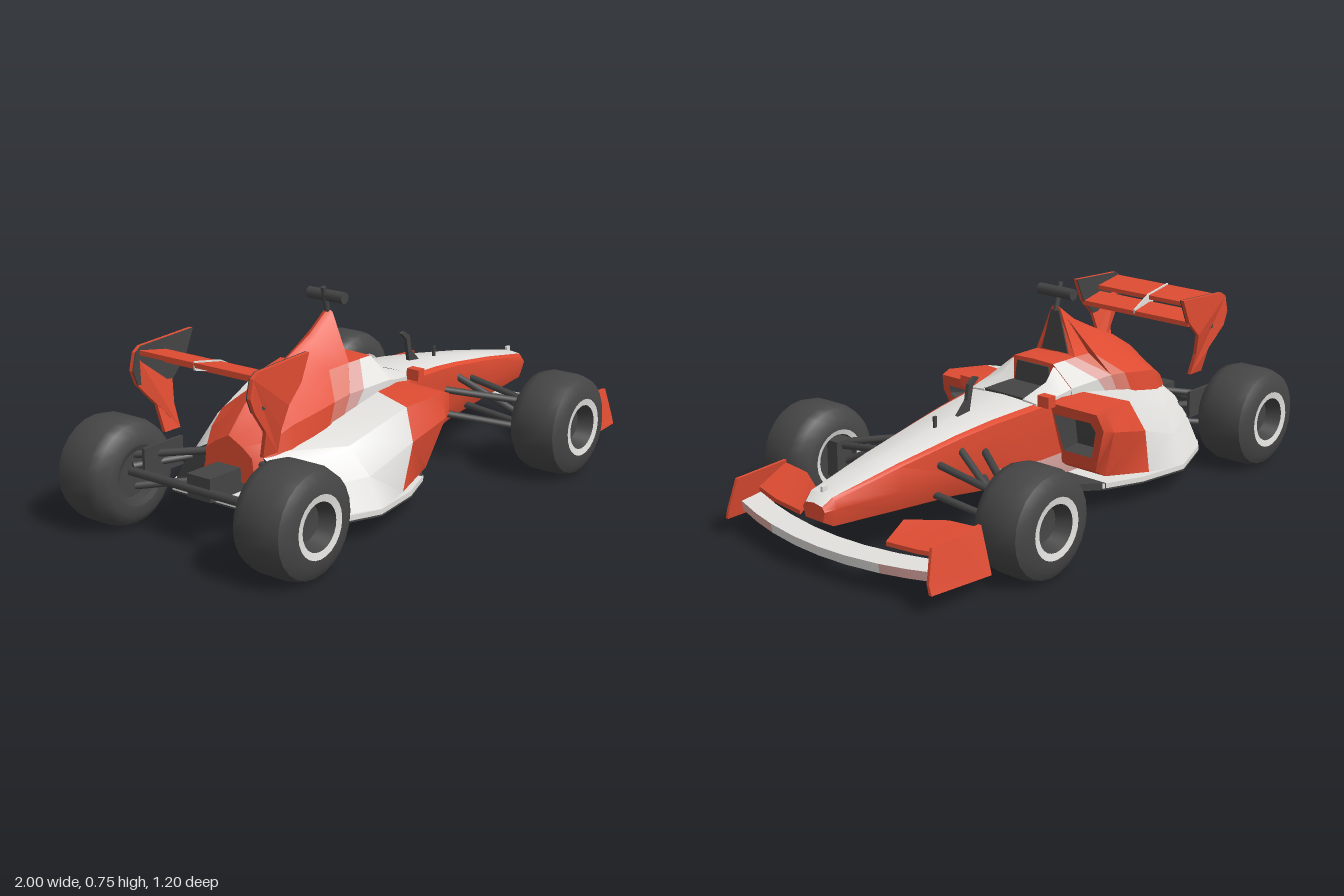
import * as THREE from 'three';
import { toCreasedNormals } from 'three/addons/utils/BufferGeometryUtils.js';

const mat = (name, color) => Object.assign(new THREE.MeshStandardMaterial({ color }), { name });
const red = mat('red paint', 0xdf4c32), white = mat('white paint', 0xe2e1de), pink = mat('pale pink paint', 0xdfaaa5);
const blush = mat('blush paint', 0xdc7c6c), dark = mat('dark carbon', 0x444444), rubber = mat('tyre rubber', 0x464646);
const palette = [red, white, pink, blush, dark, rubber];

// Skins rings of [x,y,z] points (counter-clockwise seen from the last ring); paint(i, j) picks each panel's material.
function loft(name, rings, paint, caps = [red, red], side = 1) {
  const buckets = palette.map(() => []);
  const tri = (m, a, b, c) => {
    const t = side > 0 ? [a, b, c] : [a, c, b];
    t.forEach(p => buckets[palette.indexOf(m)].push(p[0], p[1], p[2] * side));
  };
  const n = rings[0].length;
  for (let i = 0; i < rings.length - 1; i++) {
    for (let j = 0; j < n; j++) {
      const k = (j + 1) % n, m = paint(i, j);
      const a = rings[i][j], b = rings[i][k], c = rings[i + 1][k], d = rings[i + 1][j];
      tri(m, a, b, c);
      tri(m, a, c, d);
    }
  }
  const first = rings[0], last = rings[rings.length - 1];
  for (let j = 1; j < n - 1; j++) {
    tri(caps[0], first[0], first[j + 1], first[j]);
    tri(caps[1], last[0], last[j], last[j + 1]);
  }
  const geo = new THREE.BufferGeometry();
  geo.setAttribute('position', new THREE.Float32BufferAttribute(buckets.flat(), 3));
  let start = 0;
  buckets.forEach((b, i) => {
    if (b.length) geo.addGroup(start, b.length / 3, i);
    start += b.length / 3;
  });
  const mesh = new THREE.Mesh(toCreasedNormals(geo, 0.65), palette);
  mesh.name = name;
  return mesh;
}

// Full symmetric ring from a half section of [y, z, x shift] points, top centre to bottom centre.
const symRing = (x, half) => [
  ...half.map(([y, z, dx = 0]) => [x + dx, y, z]),
  ...half.slice(1, -1).reverse().map(([y, z, dx = 0]) => [x + dx, y, -z]),
];
// Panel index counted from the top centre on either side
const fold = (j, half) => (j < half ? j : 2 * half - 1 - j);

function named(name, geo, material, x = 0, y = 0, z = 0) {
  const m = new THREE.Mesh(geo, material);
  m.name = name;
  m.position.set(x, y, z);
  return m;
}
const box = (name, material, size, pos) => named(name, new THREE.BoxGeometry(...size), material, ...pos);

function strut(name, a, b, r = 0.011) {
  const p = new THREE.Vector3(...a), q = new THREE.Vector3(...b), d = q.clone().sub(p);
  const m = named(name, new THREE.CylinderGeometry(r, r, d.length(), 8), dark);
  m.position.copy(p).add(q).multiplyScalar(0.5);
  m.quaternion.setFromUnitVectors(new THREE.Vector3(0, 1, 0), d.normalize());
  return m;
}

const plate = (pts, depth) => new THREE.ExtrudeGeometry(
  new THREE.Shape(pts.map(p => new THREE.Vector2(...p))), { depth, bevelEnabled: false });

function wheel(name, x, z, s, w, innerLip) {
  const g = new THREE.Group();
  const part = (n, pts, material) => {
    const geo = new THREE.LatheGeometry(pts.map(p => new THREE.Vector2(...p)), 24);
    geo.rotateX(s * Math.PI / 2);
    g.add(named(n, toCreasedNormals(geo, 0.7), material));
  };
  part('innerHub', [[0, 0.04 - w], [0.082, 0.04 - w], [0.086, 0.006 - w]], dark);
  part('innerRim', [[0.086, 0.006 - w], [0.104, -w]], innerLip);
  part('tyre', [[0.104, -w], [0.14, -w], [0.172, 0.025 - w], [0.184, 0.06 - w],
    [0.184, w - 0.06], [0.172, w - 0.022], [0.14, w - 0.003], [0.104, w]], rubber);
  part('rimRing', [[0.104, w], [0.08, w - 0.004]], white);
  part('hub', [[0.08, w - 0.004], [0.062, w - 0.06], [0, w - 0.07]], dark);
  g.name = name;
  g.position.set(x, 0.192, s * z);
  return g;
}

export function createModel() {
  const car = new THREE.Group();
  car.name = 'racingCar';

  // Nose and tub: x, top y, half width, belt y, belt half width, bottom y, bottom half width
  const tub = [
    [-0.3, 0.4, 0.165, 0.2, 0.17, 0.1, 0.15], [0.1, 0.405, 0.165, 0.2, 0.165, 0.11, 0.15],
    [0.3, 0.39, 0.135, 0.215, 0.14, 0.138, 0.112], [0.45, 0.372, 0.115, 0.235, 0.122, 0.15, 0.085],
    [0.7, 0.335, 0.088, 0.24, 0.098, 0.165, 0.064], [0.96, 0.287, 0.058, 0.245, 0.064, 0.185, 0.05],
    [0.995, 0.262, 0.045, 0.24, 0.05, 0.205, 0.04]];
  car.add(loft('noseAndTub', tub.map(([x, t, w, ym, wm, yb, wb]) => symRing(x,
    [[t, 0], [t - 0.006, w * 0.85], [t - 0.016, w], [ym, wm], [yb, wb], [yb, 0]])), (i, j) => {
    const k = fold(j, 5);
    if (k === 0) return white;
    if (k === 4) return i < 3 ? dark : red;
    return k === 3 && i < 2 ? pink : red;
  }));

  // Engine cover rising to the air intake, its flanks swept back in slanted bands
  const cover = [
    [-0.68, 0.35, 0.32, 0.06, 0.29, 0.1, 0.11], [-0.6, 0.435, 0.39, 0.07, 0.34, 0.13, 0.15],
    [-0.5, 0.495, 0.44, 0.075, 0.38, 0.155, 0.18], [-0.37, 0.553, 0.475, 0.08, 0.4, 0.168, 0.187],
    [-0.27, 0.602, 0.492, 0.085, 0.415, 0.174, 0.19], [-0.17, 0.675, 0.497, 0.09, 0.425, 0.175, 0.185]];
  const shoulderSweep = -0.1, baseSweep = -0.22;
  car.add(loft('engineCover', cover.map(([x, t, ym, wm, ys, ws, wb], i) => symRing(x,
    [[t, 0], [t - 0.012, 0.02], [ym, wm], [ys, ws, shoulderSweep * i / 5], [0.2, wb, baseSweep * i / 5], [0.2, 0]])),
  (i, j) => (fold(j, 5) >= 2 && i === 4 ? blush : red)));
  const facing = (name, pts, x) =>
    car.add(named(name, plate(pts, 0.006).rotateY(Math.PI / 2), dark, x, 0, 0));
  facing('airIntake', [[-0.06, 0.505], [0.06, 0.505], [0.018, 0.655], [-0.018, 0.655]], -0.17);

  // Cockpit surround, opening and nose fittings
  const headrest = [[-0.172, 1], [-0.11, 0.85], [-0.05, 0]];
  car.add(loft('headrest', headrest.map(([x, f]) => symRing(x,
    [[0.5, 0], [0.497, 0.09], [0.425, 0.175, shoulderSweep * f], [0.3, 0.178, baseSweep * f], [0.3, 0]])),
  (i, j) => (fold(j, 4) === 0 ? red : i === 0 ? pink : white)));
  facing('cockpitBack', [[-0.085, 0.4], [0.085, 0.4], [0.072, 0.484], [-0.072, 0.484]], -0.05);
  car.add(box('cockpitOpening', dark, [0.16, 0.012, 0.19], [0.025, 0.404, 0]));
  car.add(named('noseFin', plate([[0.24, 0.5], [0.26, 0.505], [0.29, 0.485], [0.3, 0.43], [0.35, 0.38], [0.29, 0.38], [0.27, 0.475]], 0.014), dark, 0, 0, -0.007));
  car.add(box('noseSensor', dark, [0.012, 0.05, 0.008], [0.45, 0.385, 0]));
  car.add(box('noseTipSensor', white, [0.02, 0.03, 0.01], [0.95, 0.29, 0]));

  // Roof camera
  car.add(strut('cameraStalk', [-0.17, 0.65, 0], [-0.195, 0.752, 0], 0.01));
  car.add(strut('roofCamera', [-0.175, 0.72, -0.077], [-0.175, 0.72, 0.077], 0.021));

  // Floor: white deck over a dark underside
  const outline = [[-0.65, 0.29], [-0.6, 0.33], [-0.4, 0.41], [-0.2, 0.38], [-0.05, 0.32]];
  const both = pts => [...pts.map(([x, z]) => [x, -z]), ...pts.slice().reverse()];
  const slab = (name, pts, material, top, depth) =>
    car.add(named(name, plate(both(pts), depth).rotateX(Math.PI / 2), material, 0, top, 0));
  slab('floorDeck', outline, white, 0.109, 0.018);
  slab('floorUnderside', outline, dark, 0.091, 0.006);
  slab('frontFloor', [[-0.06, 0.325], [0.06, 0.22], [0.15, 0.15]], dark, 0.111, 0.026);

  // Wings spanning the car
  const span = [-0.46, -0.35, -0.25, -0.12, 0, 0.12, 0.25, 0.35, 0.46];
  car.add(loft('frontWing', span.map(z => {
    const q = (z / 0.46) ** 2, x = 0.9 - 0.075 * q, y = 0.078 + 0.015 * q;
    return [[x, y + 0.015, z], [x + 0.08, y, z], [x + 0.085, y + 0.033, z], [x, y + 0.042, z]];
  }), (i, j) => (j < 2 && (i < 2 || i > 5) ? pink : white)));
  const spanWing = (name, x0, x1, y0, y1, t) => car.add(loft(name, [-0.25, 0.25].map(z =>
    [[x0, y0 - t, z], [x1, y1 - t, z], [x1, y1, z], [x0, y0, z]]), () => red));
  spanWing('rearWingUpperFlap', -0.83, -0.71, 0.625, 0.605, 0.016);
  spanWing('rearWingMainPlane', -0.72, -0.625, 0.58, 0.56, 0.018);
  car.add(named('rearWingRib', plate([[-0.83, 0.6], [-0.625, 0.55], [-0.625, 0.566], [-0.71, 0.61], [-0.83, 0.63]], 0.006), white, 0, 0, -0.003));

  // Gearbox and rear axle
  car.add(box('gearbox', dark, [0.17, 0.08, 0.1], [-0.74, 0.21, 0]));
  car.add(strut('rearAxle', [-0.82, 0.2, -0.34], [-0.82, 0.2, 0.34], 0.016));

  for (const s of [1, -1]) {
    const label = s > 0 ? 'Left' : 'Right';
    const add = m => car.add(m);

    // Sidepod: white tail, slanted red front with a recessed intake
    const pod = [
      [[-0.65, 0.3, 0.1], [-0.65, 0.26, 0.18], [-0.65, 0.19, 0.24], [-0.65, 0.1, 0.29], [-0.65, 0.1, 0.1]],
      [[-0.4, 0.345, 0.15], [-0.42, 0.305, 0.29], [-0.4, 0.21, 0.36], [-0.4, 0.105, 0.408], [-0.4, 0.1, 0.1]],
      [[-0.11, 0.4, 0.15], [-0.17, 0.385, 0.335], [-0.2, 0.28, 0.385], [-0.24, 0.115, 0.375], [-0.24, 0.115, 0.1]],
      [[0, 0.405, 0.15], [0, 0.402, 0.365], [-0.02, 0.32, 0.388], [-0.05, 0.14, 0.33], [-0.05, 0.14, 0.15]],
      [[0.05, 0.395, 0.16], [0.04, 0.39, 0.36], [0.02, 0.33, 0.375], [-0.02, 0.16, 0.31], [-0.02, 0.16, 0.16]],
      [[0.045, 0.355, 0.175], [0.037, 0.355, 0.33], [0.02, 0.32, 0.34], [-0.01, 0.21, 0.3], [-0.01, 0.21, 0.175]],
      [[-0.06, 0.35, 0.18], [-0.06, 0.35, 0.32], [-0.06, 0.31, 0.33], [-0.08, 0.22, 0.29], [-0.08, 0.22, 0.18]]];
    add(loft('sidepod' + label, pod, i => (i < 2 ? white : i === 5 ? dark : red), [dark, dark], s));

    // Cockpit rim and mirror
    add(loft('cockpitRim' + label, [
      [[-0.06, 0.497, 0.09], [-0.06, 0.425, 0.174], [-0.06, 0.37, 0.174], [-0.06, 0.37, 0.09]],
      [[0, 0.445, 0.1], [0, 0.415, 0.17], [0, 0.37, 0.17], [0, 0.37, 0.092]],
      [[0.11, 0.408, 0.09], [0.11, 0.402, 0.15], [0.11, 0.37, 0.15], [0.11, 0.37, 0.085]]],
    () => white, [white, white], s));
    add(box('mirror' + label, red, [0.035, 0.04, 0.05], [0.09, 0.415, s * 0.18]));

    // Front wing endplate and flap
    add(loft('frontEndplate' + label, [
      [[0.72, 0.07, 0.484], [0.965, 0.075, 0.468], [0.965, 0.11, 0.46], [0.935, 0.215, 0.445], [0.72, 0.225, 0.445]],
      [[0.72, 0.07, 0.5], [0.965, 0.075, 0.48], [0.965, 0.11, 0.47], [0.935, 0.215, 0.456], [0.72, 0.225, 0.457]]],
    () => red, [red, red], s));
    add(loft('frontFlap' + label, [
      [[0.8, 0.185, 0.2], [0.88, 0.135, 0.2], [0.88, 0.15, 0.2], [0.8, 0.2, 0.2]],
      [[0.73, 0.195, 0.33], [0.87, 0.14, 0.33], [0.87, 0.155, 0.33], [0.73, 0.21, 0.33]],
      [[0.72, 0.195, 0.45], [0.84, 0.145, 0.45], [0.84, 0.16, 0.45], [0.72, 0.215, 0.45]]],
    () => red, [red, red], s));

    // Rear wing endplate with dark inner face; the lower leg leans inward
    const shape = [[-0.76, 0.34], [-0.69, 0.34], [-0.695, 0.42], [-0.68, 0.5], [-0.62, 0.56], [-0.58, 0.65],
      [-0.82, 0.637], [-0.845, 0.62], [-0.86, 0.56], [-0.84, 0.51], [-0.77, 0.43]];
    const leaning = (pts, depth, z) => {
      const geo = plate(pts, depth), p = geo.attributes.position;
      for (let i = 0; i < p.count; i++) p.setZ(i, p.getZ(i) - depth / 2 + s * (z - Math.max(0, 0.5 - p.getY(i)) * 0.25));
      geo.computeVertexNormals();
      return geo;
    };
    add(named('rearEndplate' + label, leaning(shape, 0.014, 0.252), red));
    add(named('rearEndplateLining' + label, leaning(shape.slice(3, 10), 0.004, 0.243), dark));

    // Wheels
    add(wheel('frontWheel' + label, 0.53, 0.494, s, 0.108, white));
    add(wheel('rearWheel' + label, -0.817, 0.383, s, 0.113, dark));

    // Suspension arms: inner end, outer end
    const arms = [
      [[0.54, 0.29, 0.09], [0.53, 0.24, 0.4]], [[0.34, 0.29, 0.12], [0.51, 0.25, 0.38]],
      [[0.54, 0.18, 0.07], [0.53, 0.15, 0.4]], [[0.34, 0.2, 0.11], [0.51, 0.15, 0.38]],
      [[0.44, 0.32, 0.1], [0.52, 0.18, 0.38]], [[-0.64, 0.27, 0.1], [-0.8, 0.25, 0.32]],
      [[-0.62, 0.16, 0.12], [-0.8, 0.14, 0.32]], [[-0.64, 0.23, 0.2], [-0.82, 0.22, 0.3]]];
    arms.forEach(([a, b]) => add(strut('suspensionArm' + label, [a[0], a[1], a[2] * s], [b[0], b[1], b[2] * s], 0.013)));
    add(box('frontBrakeDuct' + label, dark, [0.07, 0.13, 0.05], [0.53, 0.2, s * 0.385]));
    add(box('rearBrakeDuct' + label, dark, [0.18, 0.1, 0.012], [-0.73, 0.24, s * 0.25]));
  }
  return car;
}
